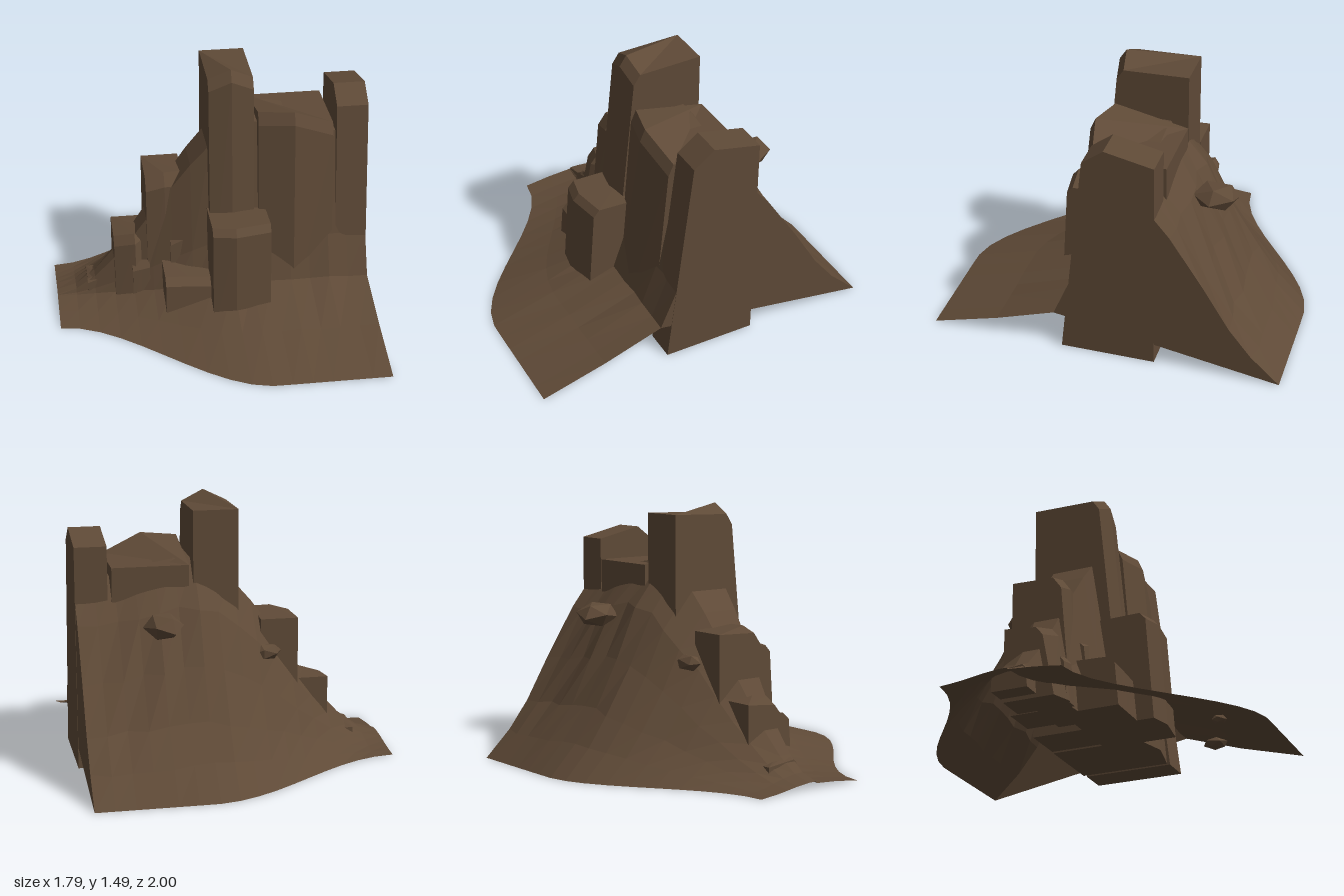
import * as THREE from 'three';

const rock = new THREE.MeshStandardMaterial({ color: 0x5f4a37 });
rock.name = 'brown rock';
rock.flatShading = true;
rock.side = THREE.DoubleSide;

const lerp = THREE.MathUtils.lerp;

function seeded(seed) {
  return () => {
    seed = (seed * 16807) % 2147483647;
    return seed / 2147483647 - 0.5;
  };
}

function addMesh(parent, geometry, name) {
  const mesh = new THREE.Mesh(geometry, rock);
  mesh.name = name;
  parent.add(mesh);
  return mesh;
}

// Joins rows of points into a flat shaded skin
function loft(rows, closed, capped) {
  const out = [];
  const tri = (...pts) => pts.forEach(p => out.push(...p));
  for (let r = 0; r < rows.length - 1; r++) {
    const a = rows[r], b = rows[r + 1], n = a.length;
    for (let i = 0; i < (closed ? n : n - 1); i++) {
      const j = (i + 1) % n;
      tri(a[i], a[j], b[j]);
      tri(a[i], b[j], b[i]);
    }
  }
  if (capped) {
    const lo = rows[0], hi = rows[rows.length - 1];
    for (let i = 1; i < lo.length - 1; i++) {
      tri(lo[0], lo[i + 1], lo[i]);
      tri(hi[0], hi[i], hi[i + 1]);
    }
  }
  const g = new THREE.BufferGeometry();
  g.setAttribute('position', new THREE.Float32BufferAttribute(out, 3));
  g.computeVertexNormals();
  return g;
}

// One cross-section of the hill, from the back edge over the ridge to the front edge
function hillSection(x, rnd) {
  const s = THREE.MathUtils.smoothstep(x, -0.9, 0.25);
  const back = -0.42 - 0.58 * s, front = 0.28 + 0.72 * s;
  const height = 0.04 + 1.12 * s - 0.1 * THREE.MathUtils.smoothstep(x, 0.3, 0.8);
  const ridge = lerp(-0.08, -0.2, s);
  const footZ = lerp(-0.02, 0.28, s), footY = 0.03 + 0.19 * s;
  const lip = lerp(-0.03, 0.08, s);
  const pts = [[1, 0], [0.81, 0.14], [0.625, 0.3], [0.44, 0.53], [0.24, 0.79], [0, 1]]
    .map(([t, h], i) => {
      const wob = i > 0 && i < 5 ? rnd() * 0.04 * s : 0;
      return [x, height * h + wob * 0.5, lerp(ridge, back, t) + wob];
    });
  pts.push([x, height, lip]);
  pts.push([x, lerp(footY, height, 0.28), lerp(footZ, lip, 0.45) + rnd() * 0.02 * s]);
  pts.push([x, footY + rnd() * 0.012 * s, footZ + rnd() * 0.02 * s]);
  pts.push([x, 0.02 + 0.08 * s + rnd() * 0.01 * s, lerp(footZ, front, 0.48)]);
  pts.push([x, 0, front]);
  return pts;
}

// Rock pillar with a leaning, pointed front and a bevelled front top edge
// y: heights of back, front left corner, front point, front right corner
function pillar({ x0, x1, xm = (x0 + x1) / 2, zb, zf, prow = 0, lean, inset, chamfer, y }) {
  const tops = [y[0], y[1], y[2], y[3], y[0]];
  const ring = (z, heights) =>
    [[x0, zb], [x0, z], [xm, z + prow], [x1, z], [x1, zb]].map(([px, pz], i) => [px, heights[i], pz]);
  return loft([
    ring(zf, [0, 0, 0, 0, 0]),
    ring(zf - lean, tops.map(t => t - chamfer)),
    ring(zf - lean - inset, tops)
  ], true, true);
}

export function createModel() {
  const model = new THREE.Group();
  model.name = 'rockyCliff';

  // Hill with steep front and spreading foot, open underneath
  const rnd = seeded(4211);
  const sections = [];
  for (let i = 0; i <= 16; i++) sections.push(hillSection(lerp(-0.9, 0.89, i / 16), rnd));
  addMesh(model, loft(sections.map(s => s.slice().reverse()), false, false), 'hillside');

  // Flat cut wall closing the tall end
  const end = sections[16].slice(0, 9).map(p => new THREE.Vector2(-p[2], p[1]));
  const wall = new THREE.ShapeGeometry(new THREE.Shape(end));
  wall.rotateY(Math.PI / 2).translate(0.89, 0, 0);
  addMesh(model, wall, 'endWall');

  // Pillars standing against the cliff
  const pillars = {
    tallPillar: { x0: -0.02, x1: 0.235, zb: -0.3, zf: 0.24, prow: 0.02, lean: 0.13, inset: 0.04, chamfer: 0.06, y: [1.44, 1.43, 1.49, 1.43] },
    widePillar: { x0: 0.26, x1: 0.69, xm: 0.46, zb: -0.305, zf: 0.23, prow: 0.05, lean: 0.09, inset: 0.03, chamfer: 0.07, y: [1.14, 1.23, 1.24, 1.14] },
    endPillar: { x0: 0.712, x1: 0.892, zb: -0.295, zf: 0.24, lean: 0.14, inset: 0.12, chamfer: 0.09, y: [1.26, 1.32, 1.32, 1.32] },
    frontPillar: { x0: -0.03, x1: 0.3, xm: 0.1, zb: 0.0, zf: 0.435, prow: 0.03, lean: 0.04, inset: 0.035, chamfer: 0.04, y: [0.64, 0.645, 0.65, 0.655] },
    middlePillar: { x0: -0.37, x1: -0.155, zb: -0.27, zf: 0.09, prow: 0.01, lean: 0.06, inset: 0.05, chamfer: 0.07, y: [0.8, 0.79, 0.82, 0.82] },
    lowPillar: { x0: -0.56, x1: -0.38, xm: -0.44, zb: -0.22, zf: 0.08, prow: 0.04, lean: 0.07, inset: 0.04, chamfer: 0.05, y: [0.43, 0.41, 0.44, 0.46] },
    shoulderPillar: { x0: -0.24, x1: -0.11, zb: -0.1, zf: 0.15, lean: 0.04, inset: 0.05, chamfer: 0.05, y: [0.5, 0.45, 0.48, 0.51] },
    stubPillar: { x0: -0.29, x1: -0.03, zb: 0.0, zf: 0.335, lean: 0.02, inset: 0.045, chamfer: 0.04, y: [0.3, 0.29, 0.285, 0.275] },
    smallPillar: { x0: -0.46, x1: -0.36, zb: -0.1, zf: 0.11, lean: 0.02, inset: 0.03, chamfer: 0.04, y: [0.29, 0.27, 0.28, 0.29] },
    edgePillar: { x0: -0.72, x1: -0.61, zb: -0.21, zf: 0.0, lean: 0.01, inset: 0.02, chamfer: 0.02, y: [0.11, 0.13, 0.15, 0.16] }
  };
  for (const [name, spec] of Object.entries(pillars)) addMesh(model, pillar(spec), name);

  // Loose stones: position, half sizes, turn
  const stones = [
    [0.44, 0.855, -0.515, 0.11, 0.075, 0.135, 0.3],
    [-0.18, 0.63, -0.335, 0.085, 0.05, 0.05, 0.5],
    [0.59, 0.04, 0.57, 0.07, 0.03, 0.075, 0.8],
    [0.235, 0.04, 0.72, 0.04, 0.025, 0.045, 0.4]
  ];
  stones.forEach(([x, y, z, sx, sy, sz, turn], i) => {
    const g = new THREE.IcosahedronGeometry(1, 0);
    g.rotateY(turn).rotateX(turn).scale(sx, sy, sz).rotateY(turn * 0.6);
    addMesh(model, g, 'looseStone' + (i + 1)).position.set(x, y, z);
  });

  return model;
}
